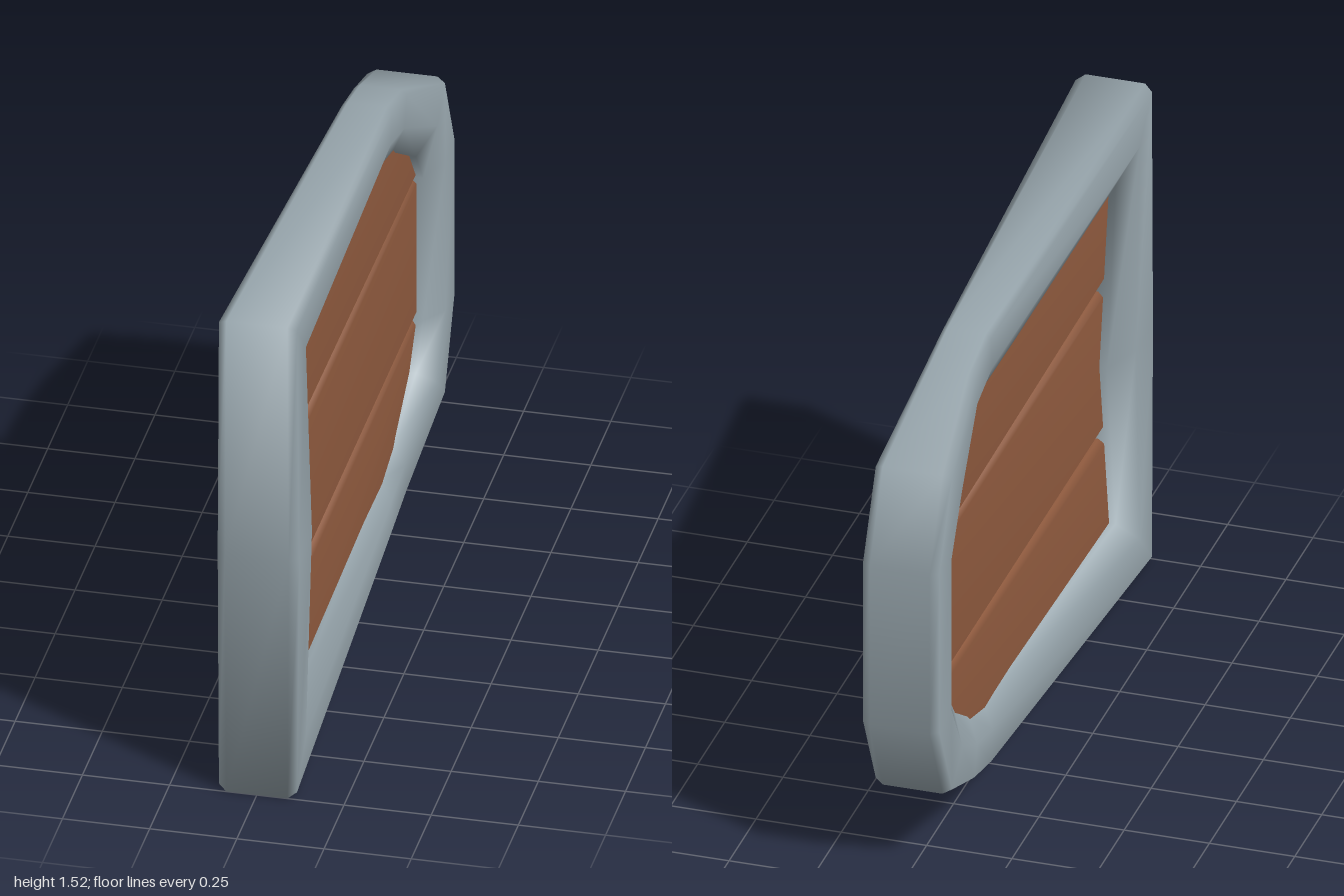
import * as THREE from 'three';
import { mergeVertices } from 'three/addons/utils/BufferGeometryUtils.js';

const MID = 0.76; // height of the mirror line

// Lower half of the frame, front to back: outer z, outer y, inner z, inner y, half thickness
const LOWER = [
  [1, 0.765, 0.70, 0.765, 0.117],
  [1, 0, 0.79, 0.217, 0.112],
  [-0.38, 0.07, -0.36, 0.255, 0.072],
  [-0.55, 0.11, -0.5, 0.285, 0.076],
  [-0.88, 0.25, -0.7, 0.41, 0.112],
  [-1, 0.505, -0.79, 0.53, 0.112],
];
// Bar cross-section: fraction from outer to inner edge, fraction of half thickness
const SECTION = [
  [0, -0.78], [0, 0.78], [0.07, 1], [0.6, 1],
  [1, 0.6], [1, -0.6], [0.6, -1], [0.07, -1],
];

const mirrorStation = ([oz, oy, iz, iy, w]) => [oz, 2 * MID - oy, iz, 2 * MID - iy, w];

// Closed loop of bevelled bar around the panel
function frameGeometry() {
  const stations = [...LOWER, ...LOWER.slice(1).reverse().map(mirrorStation)];
  const pos = [], index = [], n = SECTION.length, m = stations.length;
  stations.forEach(([oz, oy, iz, iy, w], i) => {
    SECTION.forEach(([t, x], j) => {
      pos.push(x * w, oy + (iy - oy) * t, oz + (iz - oz) * t);
      const a = i * n + j, b = i * n + (j + 1) % n;
      const c = ((i + 1) % m) * n + j, d = ((i + 1) % m) * n + (j + 1) % n;
      index.push(a, c, b, b, c, d);
    });
  });
  const g = new THREE.BufferGeometry();
  g.setAttribute('position', new THREE.Float32BufferAttribute(pos, 3));
  g.setIndex(index);
  g.computeVertexNormals();
  return g;
}

// Plank with softened edges, outlined in (z, y)
function plankGeometry(outline) {
  const bevel = 0.015, half = 0.048;
  const shape = new THREE.Shape(outline.map(([z, y]) => new THREE.Vector2(z, y)));
  let g = new THREE.ExtrudeGeometry(shape, {
    depth: 2 * (half - bevel), bevelThickness: bevel, bevelSize: bevel,
    bevelOffset: -bevel, bevelSegments: 1,
  });
  g.translate(0, 0, bevel - half);
  g.rotateY(-Math.PI / 2);
  g.deleteAttribute('uv');
  g.deleteAttribute('normal');
  g = mergeVertices(g, 1e-4);
  g.computeVertexNormals();
  return g;
}

export function createModel() {
  const group = new THREE.Group();
  const metal = new THREE.MeshStandardMaterial({ color: 0x98a6ad });
  const wood = new THREE.MeshStandardMaterial({ color: 0x8f5a3e });
  const add = (name, geometry, material) => {
    const mesh = new THREE.Mesh(geometry, material);
    mesh.name = name;
    group.add(mesh);
  };

  add('frame', frameGeometry(), metal);

  // Plank ends run hidden into the frame
  const lower = [
    [0.87, 0.13], [0.87, 0.508], [-0.86, 0.533], [-0.86, 0.46],
    [-0.76, 0.35], [-0.53, 0.22], [-0.37, 0.18],
  ];
  add('lowerPlank', plankGeometry(lower), wood);
  add('middlePlank', plankGeometry([[0.87, 0.54], [0.87, 0.985], [-0.88, 0.985], [-0.88, 0.54]]), wood);
  add('upperPlank', plankGeometry(lower.map(([z, y]) => [z, 2 * MID - y]).reverse()), wood);

  return group;
}
